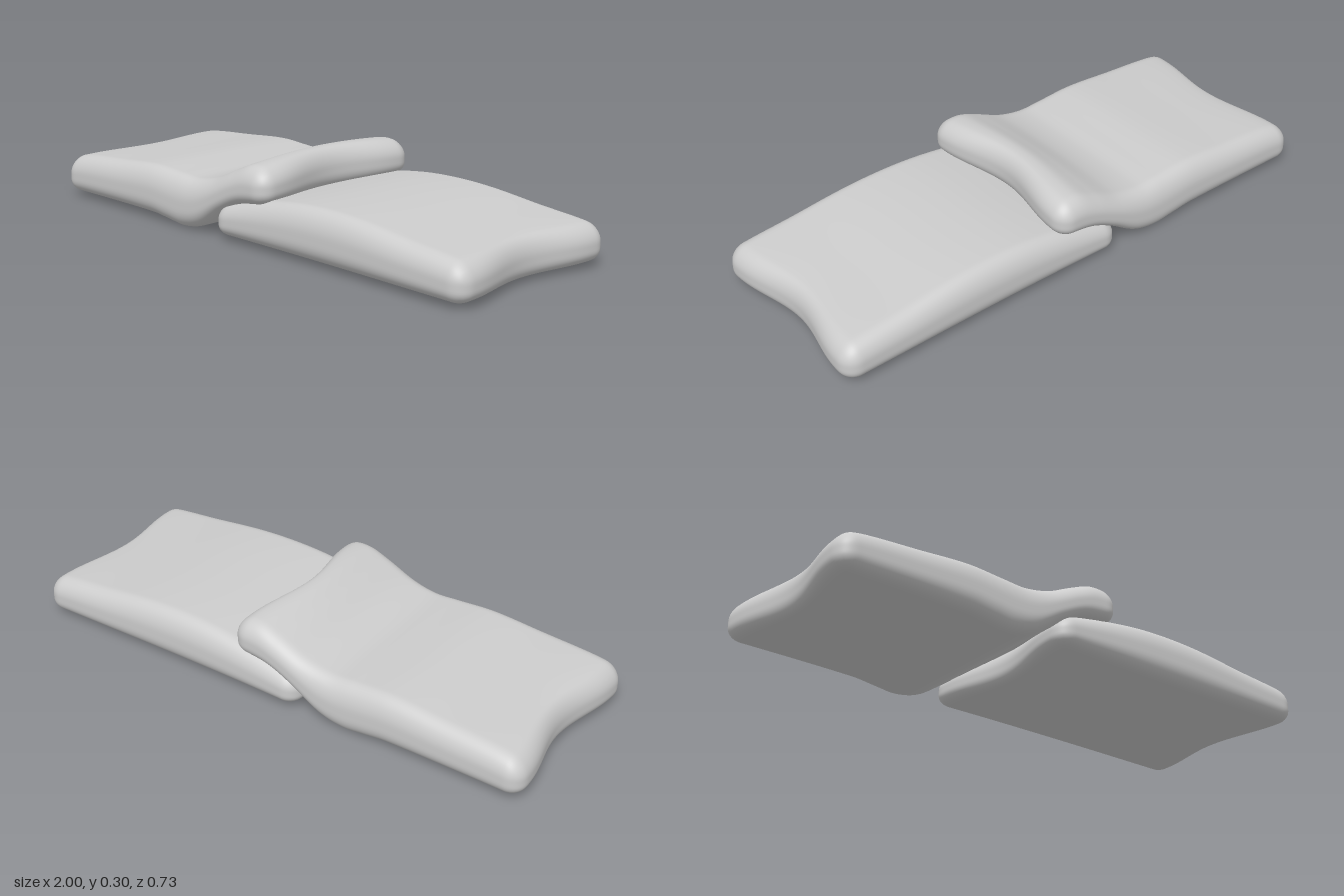
import * as THREE from 'three';
import { mergeVertices } from 'three/addons/utils/BufferGeometryUtils.js';

const HALF_DEPTH = 0.367, HALF_THICK = 0.072, RADIUS = 0.06;

// Smooth height curve through [x, y] points (cubic Hermite)
function heightCurve(pts) {
  const slope = (i) => {
    const a = pts[Math.max(i - 1, 0)], b = pts[Math.min(i + 1, pts.length - 1)];
    return (b[1] - a[1]) / (b[0] - a[0]);
  };
  return (x) => {
    let i = 0;
    while (i < pts.length - 2 && x > pts[i + 1][0]) i++;
    const [x0, y0] = pts[i], [x1, y1] = pts[i + 1], h = x1 - x0;
    const t = THREE.MathUtils.clamp((x - x0) / h, 0, 1), t2 = t * t, t3 = t2 * t;
    return (2 * t3 - 3 * t2 + 1) * y0 + (t3 - 2 * t2 + t) * h * slope(i)
      + (3 * t2 - 2 * t3) * y1 + (t3 - t2) * h * slope(i + 1);
  };
}

// Rounded slab bent between a bottom and a top curve, with hollowed ends
function cushion(name, xMin, xMax, bottomPts, topPts, dome, material) {
  const bottom = heightCurve(bottomPts), top = heightCurve(topPts);
  const mid = (xMin + xMax) / 2, halfLen = (xMax - xMin) / 2;
  const half = new THREE.Vector3(halfLen, HALF_THICK, HALF_DEPTH);
  const inner = half.clone().subScalar(RADIUS), innerNeg = inner.clone().negate();
  let geo = new THREE.BoxGeometry(halfLen * 2, HALF_THICK * 2, HALF_DEPTH * 2, 110, 16, 72);
  geo.deleteAttribute('uv');
  geo.deleteAttribute('normal');
  geo = mergeVertices(geo, 1e-5);
  const pos = geo.attributes.position, p = new THREE.Vector3(), core = new THREE.Vector3();
  for (let i = 0; i < pos.count; i++) {
    // round the edges and corners
    p.fromBufferAttribute(pos, i);
    core.copy(p).clamp(innerNeg, inner);
    p.sub(core).setLength(RADIUS).add(core);
    // bend; the widest line sits a little below the middle
    const x = mid + p.x, u = p.x / halfLen;
    let v = (p.y / HALF_THICK + 1) / 2;
    v -= 0.2 * v * (1 - v);
    const sag = dome(x) * Math.pow(Math.abs(p.z) / HALF_DEPTH, 3);
    const y = THREE.MathUtils.lerp(bottom(x), top(x) - sag, v);
    // hollow the ends
    const hollow = 0.025 * (1 + Math.cos(Math.PI * Math.min(Math.abs(p.z) / 0.31, 1)));
    pos.setXYZ(i, x - Math.sign(u) * hollow * Math.pow(Math.abs(u), 4), y, p.z);
  }
  geo.computeVertexNormals();
  const mesh = new THREE.Mesh(geo, material);
  mesh.name = name;
  return mesh;
}

export function createModel() {
  const group = new THREE.Group();
  group.name = 'overlappingCushions';
  const fabric = new THREE.MeshStandardMaterial({ color: 0xcccccc });
  fabric.name = 'lightGreyFabric';

  // Flat cushion underneath
  group.add(cushion('lowerCushion', -0.135, 1,
    [[-0.135, 0.014], [1, 0.014]],
    [[-0.135, 0.125], [-0.03, 0.15], [0.12, 0.178], [0.27, 0.196], [0.42, 0.2],
      [0.56, 0.193], [0.75, 0.172], [0.9, 0.158], [1, 0.145]],
    () => 0.004, fabric));

  // Cushion whose end climbs over the lower one
  group.add(cushion('upperCushion', -1, 0.128,
    [[-1, 0.016], [-0.5, 0.016], [-0.4, 0.006], [-0.32, 0], [-0.23, 0.022], [-0.12, 0.092],
      [-0.03, 0.135], [0.05, 0.15], [0.128, 0.158]],
    [[-1, 0.147], [-0.9, 0.167], [-0.7, 0.184], [-0.5, 0.2], [-0.35, 0.193], [-0.26, 0.19],
      [-0.16, 0.214], [-0.05, 0.267], [0.03, 0.297], [0.128, 0.292]],
    (x) => 0.004 + 0.014 * THREE.MathUtils.smoothstep(x, -0.3, 0), fabric));

  return group;
}
